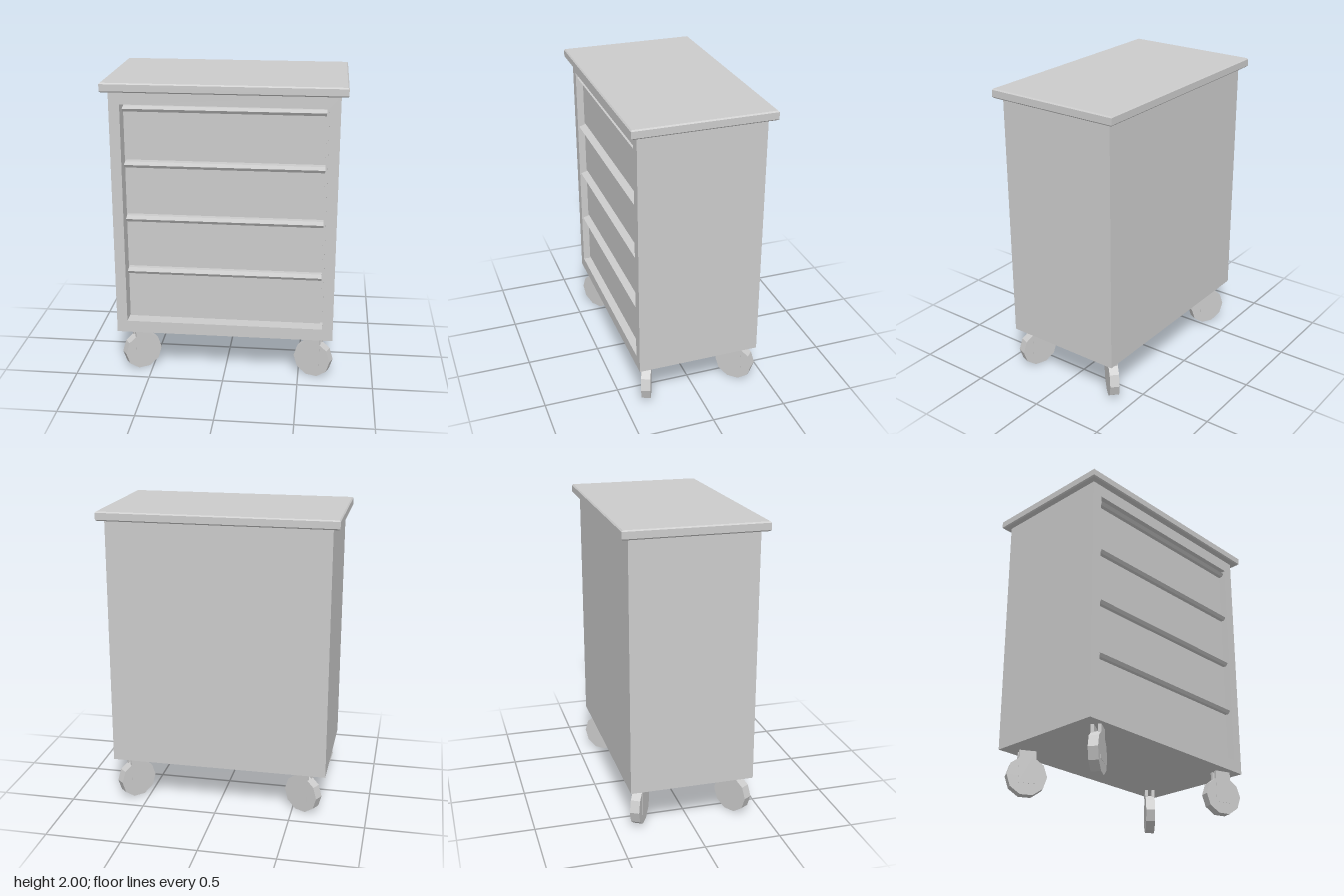
import * as THREE from 'three';

const grey = new THREE.MeshStandardMaterial({ color: 0xcccccc, flatShading: true });

function add(parent, name, geometry, x = 0, y = 0, z = 0) {
  const mesh = new THREE.Mesh(geometry, grey);
  mesh.name = name;
  mesh.position.set(x, y, z);
  parent.add(mesh);
  return mesh;
}

function rectPoints(x0, y0, x1, y1) {
  return [[x0, y0], [x1, y0], [x1, y1], [x0, y1]].map(([x, y]) => new THREE.Vector2(x, y));
}

// Caster: ten-sided wheel held between two flat fork plates, swivelled about y
function addCaster(parent, name, x, z, yaw) {
  const caster = new THREE.Group();
  caster.name = name;
  caster.position.set(x, 0, z);
  caster.rotation.y = yaw;
  const wheel = new THREE.CylinderGeometry(0.13, 0.13, 0.062, 10, 1, false, Math.PI / 10);
  wheel.rotateX(Math.PI / 2);
  add(caster, 'wheel', wheel, 0, 0.124, 0);
  for (const side of [-1, 1]) {
    add(caster, 'forkPlate', new THREE.BoxGeometry(0.11, 0.22, 0.02), 0, 0.185, side * 0.0225);
  }
  parent.add(caster);
}

export function createModel() {
  const group = new THREE.Group();
  group.name = 'rollingDrawerCabinet';

  // Cabinet body: solid rear block and a front frame around the drawer recess
  const frontZ = 0.41, recessZ = 0.3;
  add(group, 'cabinetBody', new THREE.BoxGeometry(1.45, 1.65, recessZ + 0.41), 0, 1.115, (recessZ - 0.41) / 2);
  const frame = new THREE.Shape(rectPoints(-0.725, 0.29, 0.725, 1.94));
  frame.holes.push(new THREE.Path(rectPoints(-0.655, 0.371, 0.655, 1.857)));
  add(group, 'frontFrame',
    new THREE.ExtrudeGeometry(frame, { depth: frontZ - recessZ, bevelEnabled: false }), 0, 0, recessZ);

  // Worktop with a fine chamfer
  const b = 0.008;
  const top = new THREE.ExtrudeGeometry(
    new THREE.Shape(rectPoints(-0.77 + b, -0.457 + b, 0.77 - b, 0.457 - b)),
    { depth: 0.06 - 2 * b, bevelSize: b, bevelThickness: b, bevelSegments: 1 });
  top.rotateX(-Math.PI / 2);
  add(group, 'worktop', top, 0, 1.94 + b, 0);

  // Four drawers, each with a full-width angled pull along its upper edge
  const faceZ = 0.365, pitch = 0.3655, height = 0.352;
  const pull = new THREE.Shape([[0, 0], [0.04, -0.013], [0.026, -0.033], [0, -0.033]]
    .map(([z, y]) => new THREE.Vector2(z, y)));
  for (let i = 0; i < 4; i++) {
    const topY = 1.842 - i * pitch;
    add(group, 'drawerFront', new THREE.BoxGeometry(1.28, height, faceZ - recessZ + 0.01),
      0, topY - height / 2, (faceZ + recessZ - 0.01) / 2);
    const handle = new THREE.ExtrudeGeometry(pull, { depth: 1.28, bevelEnabled: false });
    handle.rotateY(-Math.PI / 2);
    add(group, 'drawerPull', handle, 0.64, topY, faceZ);
  }

  // Casters, each turned its own way
  addCaster(group, 'frontLeftCaster', 0.6, 0.325, -0.35);
  addCaster(group, 'frontRightCaster', -0.575, 0.325, 0.57);
  addCaster(group, 'backRightCaster', -0.57, -0.315, -0.51);
  addCaster(group, 'backLeftCaster', 0.595, -0.315, 0.8);

  return group;
}
